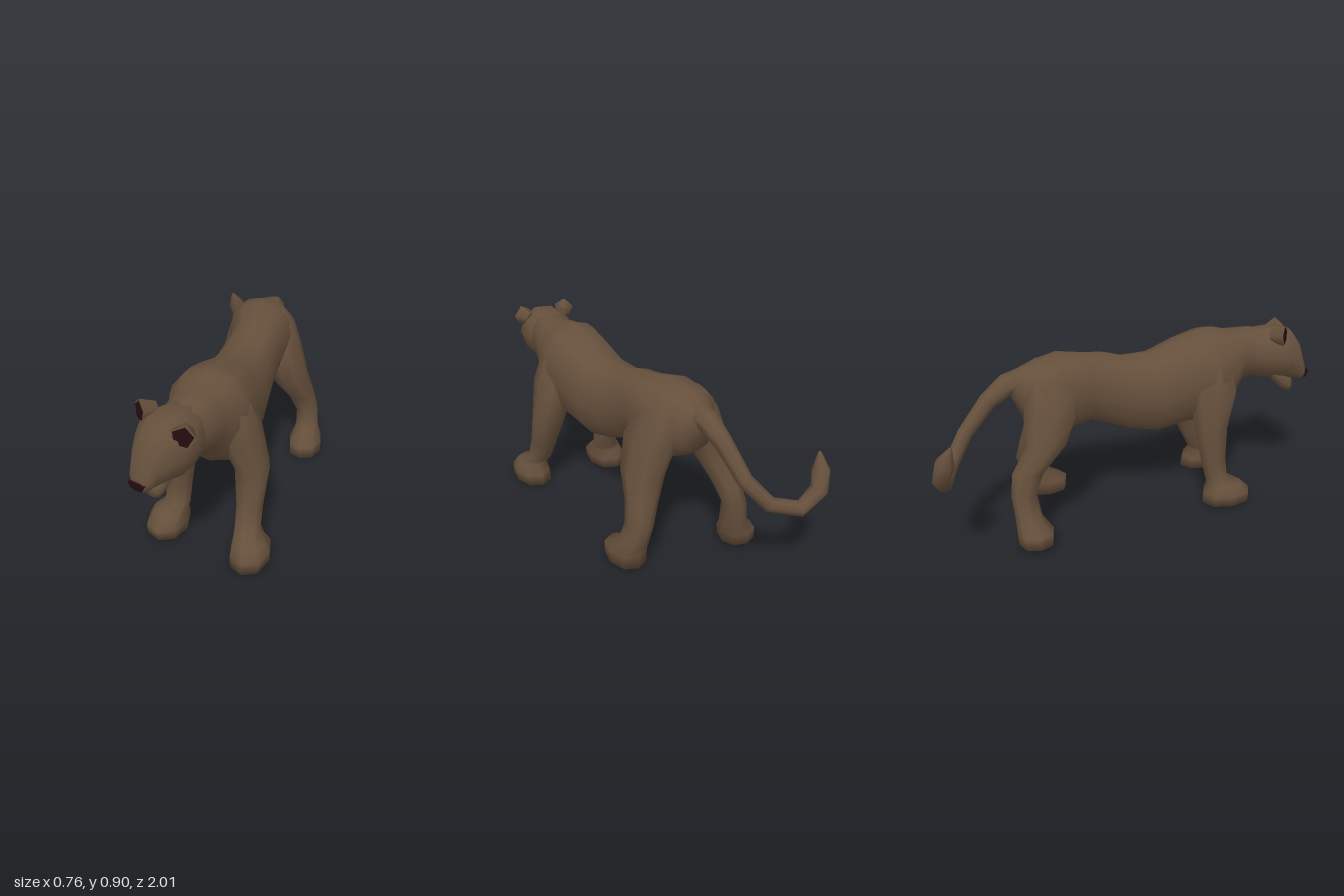
import * as THREE from 'three';

const fur = new THREE.MeshStandardMaterial({ color: 0x66503c });
fur.name = 'brown fur';
const dark = new THREE.MeshStandardMaterial({ color: 0x260c10 });
dark.name = 'dark skin';

const X = new THREE.Vector3(1, 0, 0);
const Y = new THREE.Vector3(0, 1, 0);
const Z = new THREE.Vector3(0, 0, 1);
const YAW = 0.33; // the head looks a little to its right

// Skin over elliptical rings [x, y, z, radius along u, radius along v].
// Without v, rings stand across the path and u is only a hint.
function loft(name, rings, sides, u, v, power = 1) {
  const pos = [], index = [];
  const centres = rings.map(r => new THREE.Vector3(r[0], r[1], r[2]));
  const bend = t => Math.sign(t) * Math.pow(Math.abs(t), power);
  rings.forEach((r, i) => {
    let a = u, b = v;
    if (!v) {
      const t = centres[Math.min(i + 1, rings.length - 1)].clone()
        .sub(centres[Math.max(i - 1, 0)]).normalize();
      a = u.clone().addScaledVector(t, -u.dot(t)).normalize();
      b = t.clone().cross(a);
    }
    for (let k = 0; k < sides; k++) {
      const w = (k / sides) * Math.PI * 2;
      const p = centres[i].clone()
        .addScaledVector(a, bend(Math.cos(w)) * r[3])
        .addScaledVector(b, bend(Math.sin(w)) * r[4]);
      pos.push(p.x, p.y, p.z);
    }
  });
  for (let i = 0; i < rings.length - 1; i++) {
    for (let k = 0; k < sides; k++) {
      const p = i * sides + k, q = i * sides + (k + 1) % sides;
      index.push(p, q, q + sides, p, q + sides, p + sides);
    }
  }
  // end caps
  const last = (rings.length - 1) * sides, c0 = rings.length * sides;
  pos.push(...centres[0].toArray(), ...centres[rings.length - 1].toArray());
  for (let k = 0; k < sides; k++) {
    const n = (k + 1) % sides;
    index.push(c0, n, k, c0 + 1, last + k, last + n);
  }
  const g = new THREE.BufferGeometry();
  g.setAttribute('position', new THREE.Float32BufferAttribute(pos, 3));
  g.setIndex(index);
  g.computeVertexNormals();
  const mesh = new THREE.Mesh(g, fur);
  mesh.name = name;
  return mesh;
}

// Short five-sided cup with a dark inside, opening forwards
function ear(name, position, yaw, roll) {
  const group = new THREE.Group();
  group.name = name;
  const cup = new THREE.CylinderGeometry(0.054, 0.032, 0.07, 5, 1);
  cup.rotateY(Math.PI).rotateX(Math.PI / 2);
  const shell = new THREE.Mesh(cup, fur);
  shell.name = name + 'Shell';
  const inner = new THREE.Mesh(new THREE.CircleGeometry(0.046, 5, Math.PI / 2), dark);
  inner.name = name + 'Inside';
  inner.position.z = 0.037;
  group.add(shell, inner);
  group.position.set(...position);
  group.rotation.set(-0.1, yaw, roll);
  return group;
}

export function createModel() {
  const model = new THREE.Group();
  model.name = 'bigCat';

  // Torso, rump to neck
  model.add(loft('torso', [
    [0.01, 0.735, -0.58, 0.05, 0.055],
    [0.01, 0.69, -0.53, 0.10, 0.12],
    [0.00, 0.675, -0.45, 0.16, 0.165],
    [0.02, 0.672, -0.33, 0.172, 0.192],
    [0.04, 0.67, -0.20, 0.138, 0.17],
    [0.045, 0.645, -0.10, 0.14, 0.185],
    [0.045, 0.61, 0.00, 0.15, 0.19],
    [0.05, 0.593, 0.15, 0.17, 0.207],
    [0.055, 0.632, 0.30, 0.182, 0.223],
    [0.055, 0.655, 0.42, 0.195, 0.232],
    [0.052, 0.661, 0.48, 0.19, 0.234],
    [0.05, 0.685, 0.555, 0.162, 0.19],
    [0.055, 0.738, 0.62, 0.133, 0.132],
    [0.05, 0.742, 0.71, 0.115, 0.129],
    [0.03, 0.74, 0.80, 0.085, 0.10],
  ], 12, X, Y, 0.9));

  // Head, neck to muzzle, and lower jaw
  const side = new THREE.Vector3(Math.cos(YAW), 0, Math.sin(YAW));
  model.add(loft('head', [
    [0.05, 0.74, 0.65, 0.085, 0.09],
    [0.042, 0.74, 0.71, 0.116, 0.127],
    [0.024, 0.738, 0.78, 0.138, 0.136],
    [0.008, 0.735, 0.86, 0.134, 0.139],
    [-0.008, 0.722, 0.91, 0.105, 0.128],
    [-0.027, 0.687, 0.95, 0.074, 0.10],
    [-0.037, 0.645, 0.974, 0.056, 0.06],
    [-0.04, 0.632, 0.988, 0.036, 0.03],
  ], 10, side, Y, 0.95));
  model.add(loft('jaw', [
    [0.0, 0.64, 0.81, 0.07, 0.045],
    [-0.01, 0.588, 0.87, 0.058, 0.058],
    [-0.018, 0.56, 0.905, 0.048, 0.043],
    [-0.022, 0.56, 0.925, 0.035, 0.03],
  ], 8, side, Y, 0.9));

  // Nose plate
  const outline = new THREE.Shape([
    [-0.042, 0.022], [-0.036, -0.015], [-0.015, -0.022], [0.018, -0.02], [0.042, 0.022],
  ].map(p => new THREE.Vector2(...p)));
  const nose = new THREE.Mesh(
    new THREE.ExtrudeGeometry(outline, { depth: 0.008, bevelEnabled: false }), dark);
  nose.name = 'nose';
  nose.position.set(-0.04, 0.618, 0.985);
  nose.rotation.set(0.2, -YAW * 0.6, 0);
  model.add(nose);

  model.add(ear('leftEar', [0.112, 0.826, 0.865], 0.22, -0.2));
  model.add(ear('rightEar', [-0.077, 0.85, 0.79], -0.75, 0));

  // Legs, shoulder or hip down to the sole
  const legs = {
    leftFrontLeg: [
      [0.10, 0.81, 0.45, 0.06, 0.06],
      [0.145, 0.74, 0.44, 0.088, 0.11], [0.188, 0.60, 0.44, 0.092, 0.132],
      [0.24, 0.42, 0.425, 0.083, 0.09], [0.25, 0.25, 0.48, 0.064, 0.072],
      [0.255, 0.14, 0.525, 0.062, 0.06], [0.278, 0.108, 0.575, 0.075, 0.09],
      [0.287, 0.06, 0.575, 0.093, 0.125], [0.287, 0.004, 0.57, 0.09, 0.135],
    ],
    rightFrontLeg: [
      [0.00, 0.81, 0.45, 0.06, 0.06],
      [-0.04, 0.74, 0.44, 0.084, 0.11], [-0.072, 0.60, 0.44, 0.088, 0.132],
      [-0.105, 0.42, 0.42, 0.072, 0.09], [-0.12, 0.25, 0.43, 0.064, 0.068],
      [-0.125, 0.14, 0.45, 0.064, 0.06], [-0.15, 0.108, 0.485, 0.082, 0.09],
      [-0.157, 0.06, 0.50, 0.098, 0.13], [-0.157, 0.008, 0.495, 0.094, 0.13],
    ],
    leftHindLeg: [
      [0.06, 0.82, -0.38, 0.06, 0.08],
      [0.10, 0.74, -0.38, 0.082, 0.125], [0.14, 0.60, -0.355, 0.098, 0.15],
      [0.19, 0.45, -0.365, 0.087, 0.12], [0.235, 0.33, -0.42, 0.068, 0.085],
      [0.265, 0.23, -0.447, 0.058, 0.075], [0.275, 0.13, -0.42, 0.062, 0.075],
      [0.285, 0.075, -0.365, 0.088, 0.115], [0.285, 0.01, -0.365, 0.086, 0.115],
    ],
    rightHindLeg: [
      [-0.04, 0.82, -0.40, 0.06, 0.08],
      [-0.075, 0.74, -0.40, 0.078, 0.125], [-0.11, 0.60, -0.42, 0.09, 0.13],
      [-0.14, 0.48, -0.45, 0.075, 0.10], [-0.16, 0.36, -0.55, 0.06, 0.08],
      [-0.185, 0.26, -0.585, 0.056, 0.06], [-0.20, 0.14, -0.57, 0.062, 0.065],
      [-0.24, 0.085, -0.55, 0.09, 0.088], [-0.245, 0.025, -0.55, 0.086, 0.085],
    ],
  };
  for (const [name, rings] of Object.entries(legs)) {
    model.add(loft(name, rings, 8, X, Z, 0.9));
  }

  // Tail, sweeping down and curling up to a pointed tip
  model.add(loft('tail', [
    [0.01, 0.755, -0.50, 0.075, 0.06],
    [0.005, 0.738, -0.60, 0.058, 0.05],
    [0.0, 0.675, -0.69, 0.043, 0.042],
    [-0.025, 0.54, -0.81, 0.036, 0.037],
    [-0.10, 0.44, -0.89, 0.034, 0.036],
    [-0.23, 0.40, -0.948, 0.036, 0.038],
    [-0.32, 0.475, -0.965, 0.04, 0.042],
    [-0.338, 0.555, -0.945, 0.045, 0.042],
    [-0.35, 0.63, -0.915, 0.006, 0.006],
  ], 7, new THREE.Vector3(0.7, 0, -0.7)));

  return model;
}
